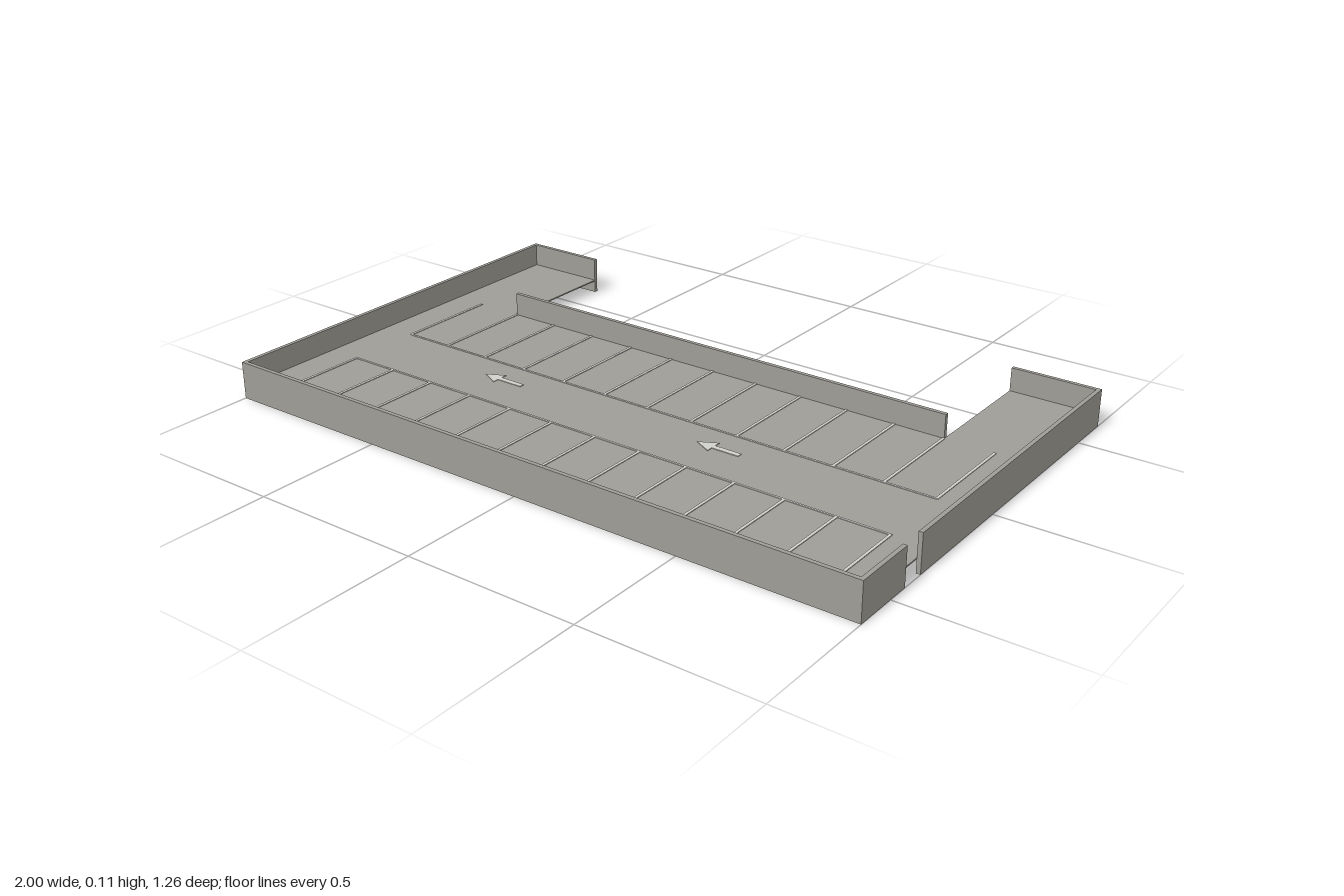
import * as THREE from 'three';

const std = (name, color) => Object.assign(new THREE.MeshStandardMaterial({ color }), { name });

export function createModel() {
  const concrete = std('concrete', 0x9f9d96);
  const paint = std('road paint', 0xd0d0cc);
  const red = std('pipe red', 0x8c2830);
  const lamp = std('lamp grey', 0xa9a9a5);

  const model = new THREE.Group();
  model.name = 'parkingDeck';

  // Box given by its minimum and maximum on each axis
  const box = (parent, name, mat, x0, x1, y0, y1, z0, z1) => {
    const mesh = new THREE.Mesh(new THREE.BoxGeometry(x1 - x0, y1 - y0, z1 - z0), mat);
    mesh.position.set((x0 + x1) / 2, (y0 + y1) / 2, (z0 + z1) / 2);
    mesh.name = name;
    parent.add(mesh);
    return mesh;
  };
  const group = (name) => {
    const g = new THREE.Group();
    g.name = name;
    model.add(g);
    return g;
  };

  const H = 0.11, T = 0.012, Z = 0.628;   // wall height, wall thickness, half depth
  const floorY = 0.041, underY = 0.037;   // deck top and underside
  const armX = 0.74, backZ = -0.245;      // inner edge of the arms, back of the main bay
  const xi = 1 - T, zi = Z - T;

  // U-shaped deck slab, drawn in x and -z, then laid flat
  const outline = new THREE.Shape([
    [-xi, -zi], [xi, -zi], [xi, zi], [armX, zi], [armX, -backZ],
    [-armX, -backZ], [-armX, zi], [-xi, zi],
  ].map(([x, y]) => new THREE.Vector2(x, y)));
  const slab = new THREE.Mesh(
    new THREE.ExtrudeGeometry(outline, { depth: floorY - underY, bevelEnabled: false }), concrete);
  slab.rotation.x = -Math.PI / 2;
  slab.position.y = underY;
  slab.name = 'deckSlab';
  model.add(slab);

  // Parapet walls; the one at +x is broken by a narrow opening
  const walls = group('parapetWalls');
  box(walls, 'frontWall', concrete, -1, 1, 0, H, zi, Z);
  box(walls, 'rightWall', concrete, -1, -xi, 0, H, -Z, zi);
  box(walls, 'leftWallFront', concrete, xi, 1, 0, H, 0.435, zi);
  box(walls, 'leftWallBack', concrete, xi, 1, 0, H, -Z, 0.363);
  box(walls, 'middleBackWall', concrete, -armX, armX, 0, H, backZ, backZ + T);
  box(walls, 'rightArmEndWall', concrete, -xi, -armX, 0, H, -Z, -zi);
  box(walls, 'leftArmEndWall', concrete, armX, xi, 0, H, -Z, -zi);

  // Parking bay lines
  const lines = group('bayLines');
  const y0 = floorY, y1 = floorY + 0.002, w = 0.004, endX = 0.887;
  for (let i = 0; i <= 12; i++) {
    const x = -endX + (i * 2 * endX) / 12;
    box(lines, 'backBayLine', paint, x - w, x + w, y0, y1, backZ + T, 0.08);
    box(lines, 'frontBayLine', paint, x - w, x + w, y0, y1, 0.305, 0.608);
  }
  for (const z of [0.08, 0.305])
    box(lines, 'laneLine', paint, -endX, endX, y0, y1, z - 0.003, z + 0.003);

  // Direction arrows pointing to -x
  const arrowShape = new THREE.Shape([
    [-0.067, 0], [-0.015, 0.027], [-0.015, 0.008], [0.067, 0.008],
    [0.067, -0.008], [-0.015, -0.008], [-0.015, -0.027],
  ].map(([x, y]) => new THREE.Vector2(x, y)));
  const arrowGeo = new THREE.ExtrudeGeometry(arrowShape, { depth: 0.002, bevelEnabled: false });
  for (const x of [-0.437, 0.301]) {
    const arrow = new THREE.Mesh(arrowGeo, paint);
    arrow.rotation.x = -Math.PI / 2;
    arrow.position.set(x, floorY, 0.17);
    arrow.name = 'laneArrow';
    model.add(arrow);
  }

  // Cross beams below the deck
  const beams = group('beams');
  for (const x of [-0.445, 0, 0.445])
    box(beams, 'beam', concrete, x - 0.007, x + 0.007, 0.008, underY, backZ + T, zi);

  // Sprinkler pipe along the lane
  const pipe = new THREE.Mesh(new THREE.CylinderGeometry(0.004, 0.004, 2 * xi, 10), red);
  pipe.rotation.z = Math.PI / 2;
  pipe.position.set(0, underY - 0.006, 0.19);
  pipe.name = 'sprinklerPipe';
  model.add(pipe);

  // Ceiling lamps
  const lamps = group('ceilingLamps');
  for (const z of [0.03, 0.45])
    for (let i = 0; i < 8; i++) {
      const x = (i - 3.5) * 0.222;
      box(lamps, 'lamp', lamp, x - 0.035, x + 0.035, underY - 0.005, underY, z - 0.007, z + 0.007);
    }

  return model;
}
